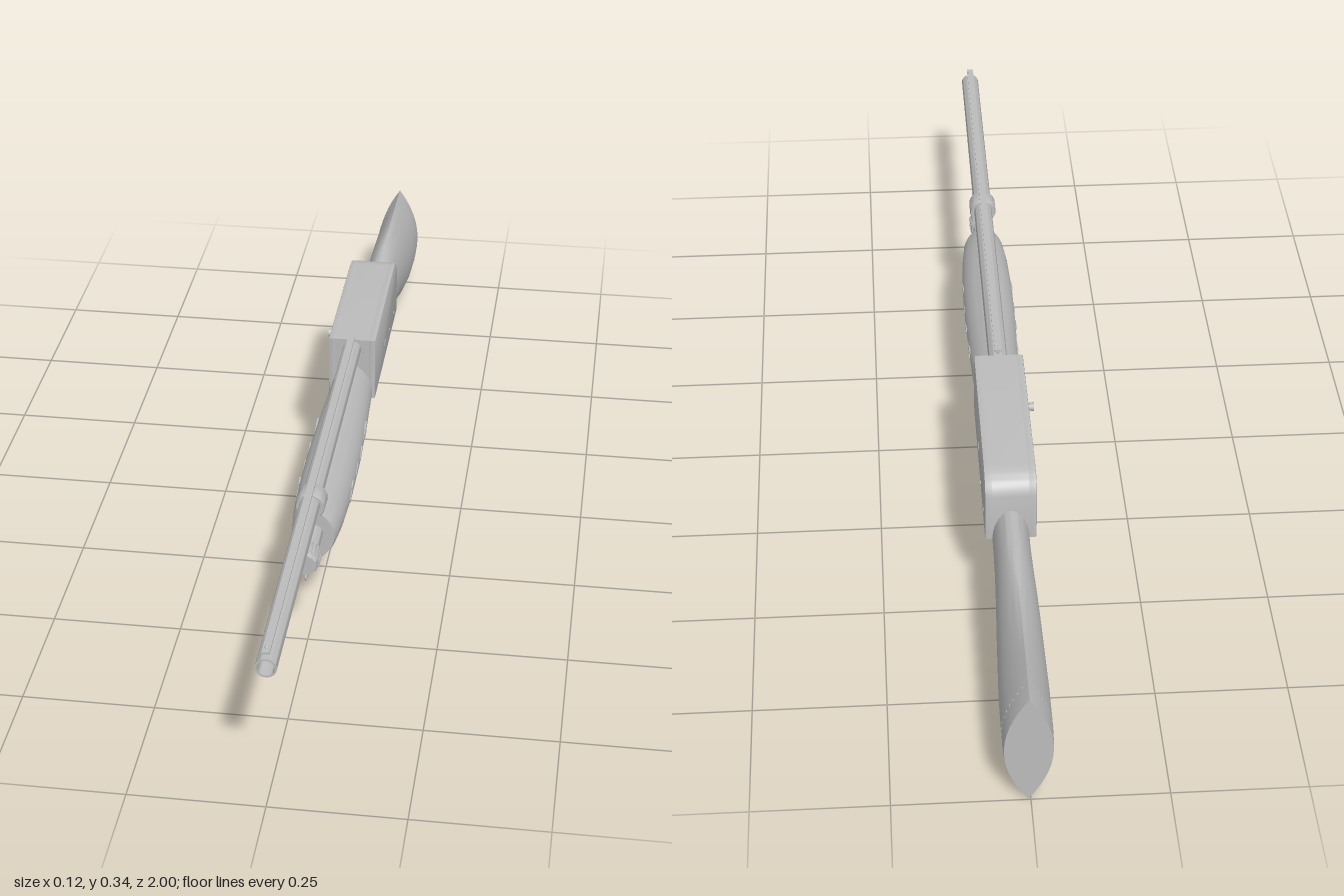
import * as THREE from 'three';
import { toCreasedNormals } from 'three/addons/utils/BufferGeometryUtils.js';

const grey = new THREE.MeshStandardMaterial({ color: 0xbcbcbc });
grey.name = 'gunGrey';
const green = new THREE.MeshStandardMaterial({ color: 0x2e734e });
green.name = 'shellGreen';

export function createModel() {
  const root = new THREE.Group();
  root.name = 'pumpShotgun';
  root.position.x = 0.0045;

  const add = (name, geometry, x = 0, y = 0, z = 0, material = grey) => {
    const mesh = new THREE.Mesh(geometry, material);
    mesh.name = name;
    mesh.position.set(x, y, z);
    root.add(mesh);
    return mesh;
  };
  const box = (name, w, h, d, x, y, z) => add(name, new THREE.BoxGeometry(w, h, d), x, y, z);

  // Round part about the z axis from [radius, z] points, listed back to front
  const turned = (name, points, y, material = grey, sides = 32) => {
    const g = new THREE.LatheGeometry(points.map(p => new THREE.Vector2(...p)), sides);
    g.rotateX(Math.PI / 2);
    return add(name, toCreasedNormals(g, 0.6), 0, y, 0, material);
  };

  // Lens-shaped loft; each section is [z, bottom, top, halfWidth, sharpness]
  const loft = (sections, sides = 40) => {
    const pos = [], idx = [];
    for (const [z, lo, hi, w, p] of sections) {
      for (let j = 0; j < sides; j++) {
        const a = (j / sides) * Math.PI * 2, c = Math.cos(a);
        pos.push(w * Math.sign(c) * Math.abs(c) ** (2 * p), (lo + hi) / 2 + (hi - lo) / 2 * Math.sin(a), z);
      }
    }
    const last = (sections.length - 1) * sides;
    for (let i = 0; i < last; i += sides) {
      for (let j = 0; j < sides; j++) {
        const k = (j + 1) % sides;
        const a = i + j, b = i + k, c = b + sides, d = a + sides;
        idx.push(a, d, b, b, d, c);
      }
    }
    // End caps
    const mid = s => [0, (s[1] + s[2]) / 2, s[0]];
    const f = pos.length / 3;
    pos.push(...mid(sections[0]), ...mid(sections[sections.length - 1]));
    for (let j = 0; j < sides; j++) {
      const k = (j + 1) % sides;
      idx.push(f, j, k, f + 1, last + k, last + j);
    }
    const g = new THREE.BufferGeometry();
    g.setAttribute('position', new THREE.Float32BufferAttribute(pos, 3));
    g.setIndex(idx);
    return toCreasedNormals(g, 0.6);
  };

  // Side profile (u = -z, v = y) given thickness along x
  const slab = (name, shape, x0, x1, bevel = 0) => {
    const g = new THREE.ExtrudeGeometry(shape, {
      depth: x1 - x0 - 2 * bevel, bevelEnabled: bevel > 0, bevelSize: bevel,
      bevelThickness: bevel, bevelOffset: -bevel, bevelSegments: 2, curveSegments: 10,
    });
    g.translate(0, 0, x0 + bevel).rotateY(Math.PI / 2);
    return add(name, toCreasedNormals(g, 0.6));
  };
  const rounded = (path, u0, v0, u1, v1, r) => {
    path.moveTo(u0 + r, v0).lineTo(u1 - r, v0).quadraticCurveTo(u1, v0, u1, v0 + r)
      .lineTo(u1, v1 - r).quadraticCurveTo(u1, v1, u1 - r, v1)
      .lineTo(u0 + r, v1).quadraticCurveTo(u0, v1, u0, v1 - r)
      .lineTo(u0, v0 + r).quadraticCurveTo(u0, v0, u0 + r, v0);
    return path;
  };

  // Barrel with an open bore, and its clamp ring
  turned('barrel', [[0, -0.13], [0.019, -0.13], [0.019, 1], [0.0155, 1], [0.0155, 0.85], [0, 0.85]], 0.303);
  turned('barrelClamp', [[0.018, 0.445], [0.026, 0.445], [0.028, 0.45], [0.028, 0.485],
    [0.026, 0.49], [0.018, 0.49]], 0.298);

  // Sighting rib on posts
  box('sightRib', 0.014, 0.004, 1.11, 0, 0.334, 0.445);
  for (let i = 0; i < 12; i++) box('ribPost', 0.005, 0.016, 0.01, 0, 0.326, 0.93 - 0.0935 * i);
  add('beadSight', new THREE.SphereGeometry(0.004, 12, 8), 0, 0.336, 0.985);

  // Magazine tube and knurled cap
  turned('magazineTube', [[0, 0.4], [0.018, 0.4], [0.018, 0.52], [0, 0.52]], 0.212);
  turned('magazineCap', [[0, 0.506], [0.022, 0.506], [0.024, 0.51], [0.024, 0.548],
    [0.021, 0.557], [0, 0.557]], 0.212);
  for (let i = 0; i < 18; i++) {
    const a = (i / 18) * Math.PI * 2;
    const ridge = box('capRidge', 0.003, 0.004, 0.036, 0.024 * Math.cos(a), 0.212 + 0.024 * Math.sin(a), 0.529);
    ridge.rotation.z = a;
  }
  box('capStud', 0.004, 0.014, 0.006, 0, 0.184, 0.545);
  add('capRing', new THREE.TorusGeometry(0.006, 0.002, 8, 16), 0, 0.179, 0.545).rotation.y = Math.PI / 2;

  // Pump grip
  add('pumpGrip', loft([
    [0.445, 0.147, 0.265, 0.04, 0.85], [0.435, 0.144, 0.268, 0.043, 0.85],
    [0.38, 0.139, 0.272, 0.049, 0.85], [0.28, 0.136, 0.273, 0.053, 0.85],
    [0.16, 0.136, 0.273, 0.053, 0.85], [0.02, 0.137, 0.272, 0.049, 0.85],
    [-0.07, 0.14, 0.271, 0.045, 0.85], [-0.115, 0.142, 0.269, 0.043, 0.85],
  ]));
  for (const side of [-1, 1]) {
    for (const [z, y, len, x] of [[0.29, 0.207, 0.045, 0.052], [0.275, 0.215, 0.02, 0.052],
      [0.21, 0.209, 0.035, 0.052], [0.145, 0.209, 0.035, 0.052], [0.065, 0.213, 0.05, 0.0495],
      [0.055, 0.204, 0.02, 0.0495]]) {
      box('gripRidge', 0.003, 0.007, len, side * x, y, z).rotation.x = 0.25;
    }
  }

  // Receiver: two walls around a core, with ejection and loading ports
  const finishTop = shape => shape.lineTo(0.508, 0.188).lineTo(0.508, 0.28)
    .quadraticCurveTo(0.505, 0.322, 0.455, 0.325).lineTo(0.112, 0.325).closePath();
  const portWall = finishTop(new THREE.Shape().moveTo(0.112, 0.188));
  portWall.holes.push(rounded(new THREE.Path(), 0.2, 0.25, 0.38, 0.3, 0.012));
  slab('receiverPortWall', portWall, -0.049, -0.032, 0.003);
  slab('receiverWall', finishTop(new THREE.Shape().moveTo(0.112, 0.188)), 0.032, 0.049, 0.003);
  slab('receiverCore', finishTop(new THREE.Shape().moveTo(0.112, 0.188).lineTo(0.135, 0.188)
    .lineTo(0.15, 0.235).lineTo(0.31, 0.235).lineTo(0.33, 0.188)), -0.036, 0.036);

  // Bolt with its handle in the ejection port
  box('bolt', 0.012, 0.038, 0.11, -0.038, 0.275, -0.257);
  const handle = add('boltHandle', new THREE.CylinderGeometry(0.009, 0.006, 0.022, 16), -0.0525, 0.278, -0.222);
  handle.rotation.z = Math.PI / 2;

  // Pins and slots on the receiver
  for (const side of [-1, 1]) {
    for (const z of [-0.37, -0.45]) {
      add('receiverPin', new THREE.CylinderGeometry(0.004, 0.004, 0.002, 12), side * 0.049, 0.212, z)
        .rotation.z = Math.PI / 2;
    }
  }
  box('receiverSlot', 0.002, 0.004, 0.025, 0.049, 0.23, -0.28);

  // Trigger and its guard
  const guard = rounded(new THREE.Shape(), 0.33, 0.105, 0.48, 0.2, 0.035);
  guard.holes.push(rounded(new THREE.Path(), 0.338, 0.113, 0.472, 0.192, 0.03));
  slab('triggerGuard', guard, -0.008, 0.008);
  const curve = new THREE.CatmullRomCurve3([
    [0.2, -0.4], [0.17, -0.41], [0.15, -0.409], [0.13, -0.4],
  ].map(([y, z]) => new THREE.Vector3(0, y, z)));
  add('trigger', new THREE.TubeGeometry(curve, 16, 0.005, 10));

  // Shell below the loading port
  turned('shellCase', [[0, -0.32], [0.016, -0.32], [0.016, -0.215], [0.013, -0.212], [0, -0.212]], 0.15, green, 24);
  turned('shellBase', [[0, -0.338], [0.018, -0.338], [0.018, -0.335], [0.0165, -0.334],
    [0.0165, -0.318], [0, -0.318]], 0.15, grey, 24);

  // Stock and butt pad
  add('stock', loft([
    [-0.5, 0.124, 0.255, 0.035, 0.55], [-0.54, 0.112, 0.257, 0.035, 0.55],
    [-0.6, 0.104, 0.26, 0.036, 0.55], [-0.66, 0.098, 0.262, 0.038, 0.6],
    [-0.71, 0.082, 0.262, 0.04, 0.7], [-0.76, 0.058, 0.261, 0.042, 0.8],
    [-0.82, 0.032, 0.259, 0.044, 0.9], [-0.88, 0.012, 0.256, 0.046, 1],
    [-0.93, 0.004, 0.254, 0.046, 1], [-0.96, 0.002, 0.252, 0.046, 1],
  ]));
  add('buttPad', loft([
    [-0.96, 0.002, 0.252, 0.046, 1], [-0.99, 0.001, 0.25, 0.045, 1], [-1, 0.003, 0.248, 0.044, 1],
  ]));
  for (const side of [-1, 1]) {
    for (let i = 1; i < 18; i++) {
      const t = i / 9 - 1;
      box('padStitch', 0.002, 0.004, 0.002, side * 0.0455 * (1 - t * t), 0.127 + 0.125 * t, -0.96);
    }
  }

  // Sling stud below the wrist
  add('slingPost', new THREE.CylinderGeometry(0.004, 0.004, 0.025, 12), 0, 0.099, -0.595);
  add('slingDisc', new THREE.CylinderGeometry(0.022, 0.022, 0.007, 24), 0, 0.089, -0.595);

  return root;
}
